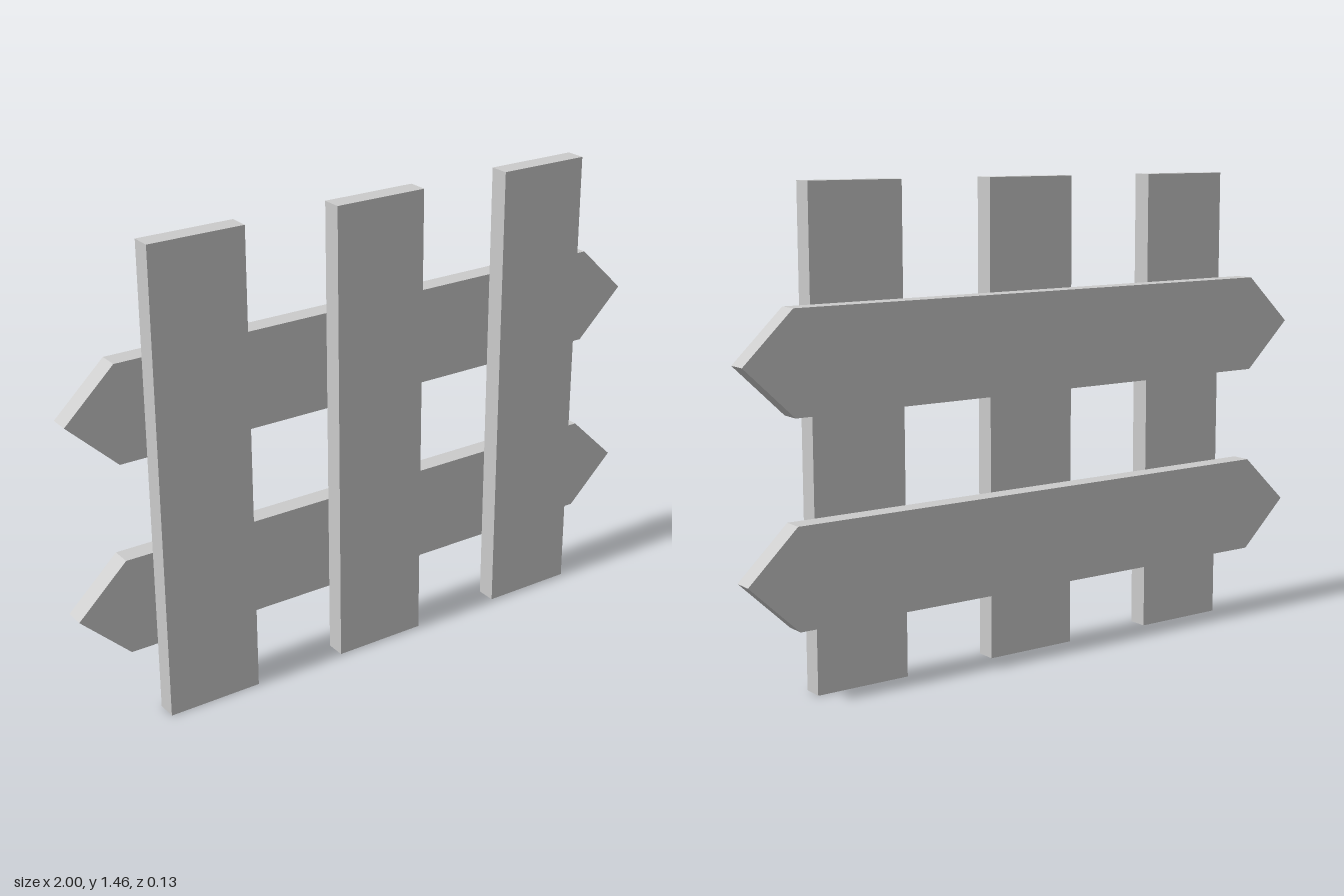
import * as THREE from 'three';

const BOARD = 0.302; // board width
const THICK = 0.063; // board thickness

export function createModel() {
  const group = new THREE.Group();
  group.name = 'fence';
  const material = new THREE.MeshStandardMaterial({ color: 0xcccccc, flatShading: true });

  // Upright slats in front of the rails
  const slatGeometry = new THREE.BoxGeometry(BOARD, 1.464, THICK);
  [-0.605, 0, 0.605].forEach((x, i) => {
    const slat = new THREE.Mesh(slatGeometry, material);
    slat.name = `slat${i + 1}`;
    slat.position.set(x, 0.732, THICK / 2);
    group.add(slat);
  });

  // Horizontal rails with pointed ends, behind the slats
  const h = BOARD / 2;
  const outline = new THREE.Shape([
    [-1, 0], [-0.842, -h], [0.842, -h], [1, 0], [0.842, h], [-0.842, h],
  ].map(([x, y]) => new THREE.Vector2(x, y)));
  const railGeometry = new THREE.ExtrudeGeometry(outline, { depth: THICK, bevelEnabled: false });
  [['lowerRail', 0.369], ['upperRail', 0.974]].forEach(([name, y]) => {
    const rail = new THREE.Mesh(railGeometry, material);
    rail.name = name;
    rail.position.set(0, y, -THICK);
    group.add(rail);
  });

  return group;
}
